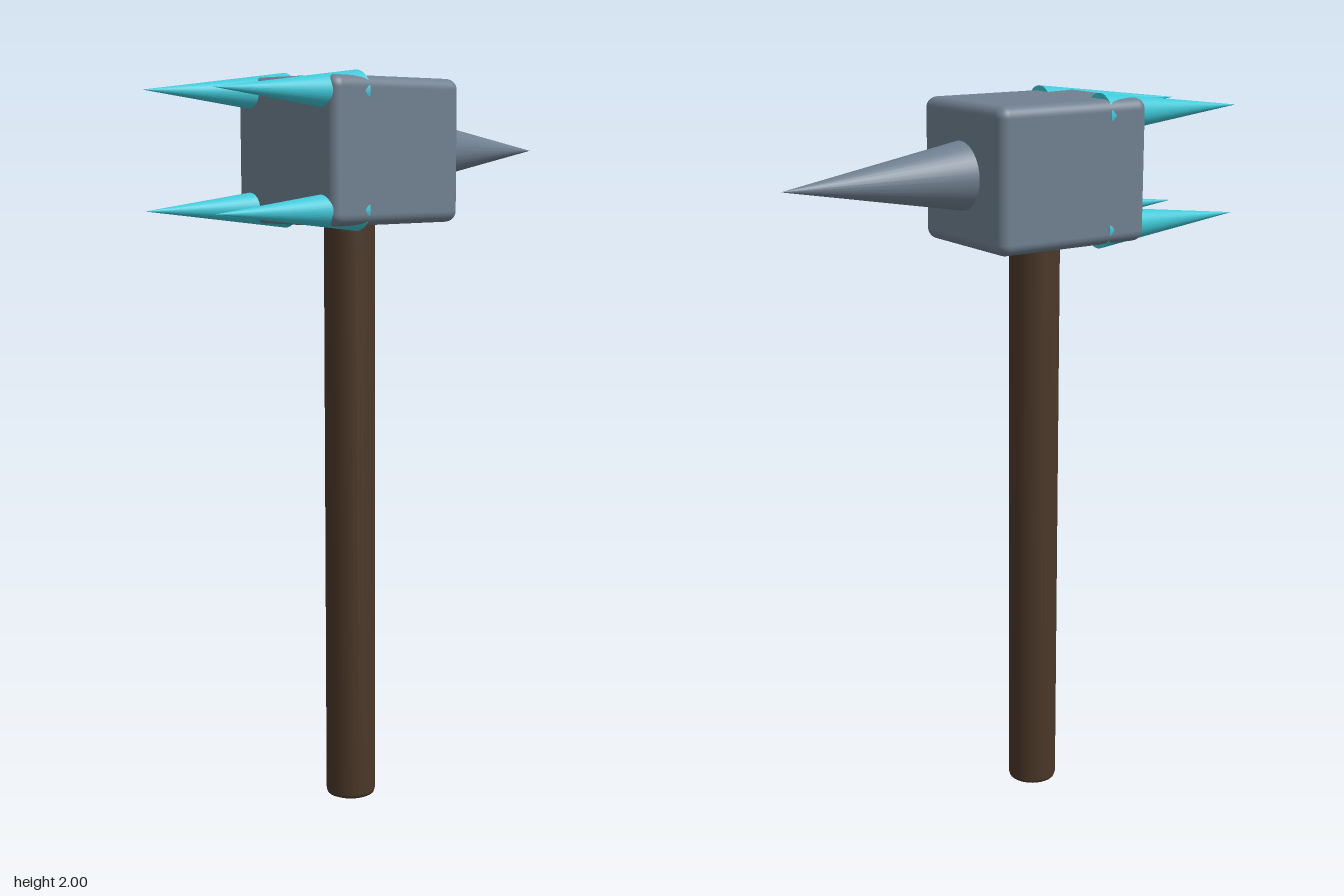
import * as THREE from 'three';
import { RoundedBoxGeometry } from 'three/addons/geometries/RoundedBoxGeometry.js';

const HEAD_X = -0.087, HEAD_Y = 1.8;

export function createModel() {
  const model = new THREE.Group();
  const steel = new THREE.MeshStandardMaterial({ color: 0x708090 });
  const wood = new THREE.MeshStandardMaterial({ color: 0x4a3728 });
  const crystal = new THREE.MeshStandardMaterial({ color: 0x40c8d8 });

  function add(name, geometry, material, x, y, z) {
    const mesh = new THREE.Mesh(geometry, material);
    mesh.name = name;
    mesh.position.set(x, y, z);
    model.add(mesh);
    return mesh;
  }

  // Cone lying along x from its base to its tip
  function addSpike(name, material, baseX, tipX, radius, y, z) {
    const cone = new THREE.ConeGeometry(radius, Math.abs(tipX - baseX), 32);
    cone.rotateZ(tipX > baseX ? -Math.PI / 2 : Math.PI / 2);
    return add(name, cone, material, (baseX + tipX) / 2, y, z);
  }

  // Handle: a round shaft with a small chamfer at the foot, running up into the head
  const r = 0.069, top = 1.7;
  const profile = [[0, 0], [r - 0.012, 0], [r - 0.003, 0.004], [r, 0.014], [r, top], [0, top]];
  const creased = [];
  profile.forEach(([px, py], i) => {
    creased.push(new THREE.Vector2(px, py));
    // doubled corner keeps the bottom edge crisp
    if (i === 1) creased.push(new THREE.Vector2(px + 0.0005, py));
  });
  add('handle', new THREE.LatheGeometry(creased, 32), wood, HEAD_X, 0, 0);

  // Block head with softened edges
  add('head', new RoundedBoxGeometry(0.468, 0.378, 0.378, 5, 0.03), steel, HEAD_X, HEAD_Y, 0);

  // Single long pick
  addSpike('pick', steel, 0.13, 0.665, 0.093, HEAD_Y, 0);

  // Four spikes set into the corners of the striking face
  for (const sy of [1, -1]) {
    for (const sz of [1, -1]) {
      const name = (sy > 0 ? 'upper' : 'lower') + (sz > 0 ? 'Front' : 'Back') + 'Spike';
      addSpike(name, crystal, -0.197, -0.667, 0.055, HEAD_Y + sy * 0.149, sz * 0.136);
    }
  }
  return model;
}
